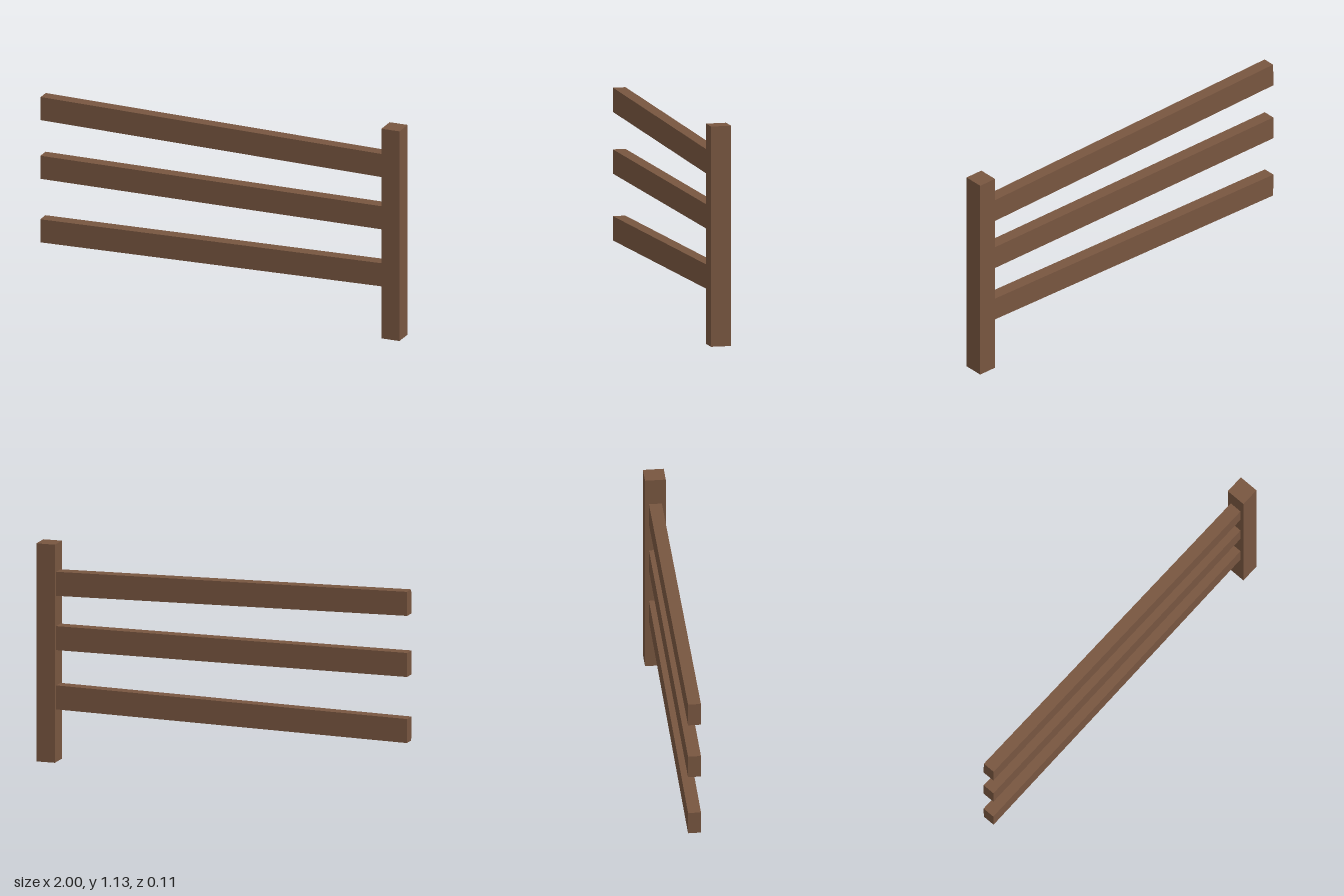
import * as THREE from 'three';

export function createModel() {
  const group = new THREE.Group();
  const wood = new THREE.MeshStandardMaterial({ color: 0x785640 });
  wood.name = 'brown wood';

  // Upright post at the model's left end
  const post = new THREE.Mesh(new THREE.BoxGeometry(0.1, 1.135, 0.106), wood);
  post.name = 'post';
  post.position.set(0.95, 1.135 / 2, 0);
  group.add(post);

  // Rails run from the free end into the post; outer two tilt slightly
  const startX = -0.999, endX = 0.93;
  const rails = [
    ['topRail', 0.963, 0.927],
    ['middleRail', 0.645, 0.645],
    ['bottomRail', 0.301, 0.337],
  ];
  for (const [name, startY, endY] of rails) {
    const dx = endX - startX, dy = endY - startY;
    const rail = new THREE.Mesh(new THREE.BoxGeometry(Math.hypot(dx, dy), 0.125, 0.066), wood);
    rail.name = name;
    rail.position.set((startX + endX) / 2, (startY + endY) / 2, 0);
    rail.rotation.z = Math.atan2(dy, dx);
    group.add(rail);
  }
  return group;
}
